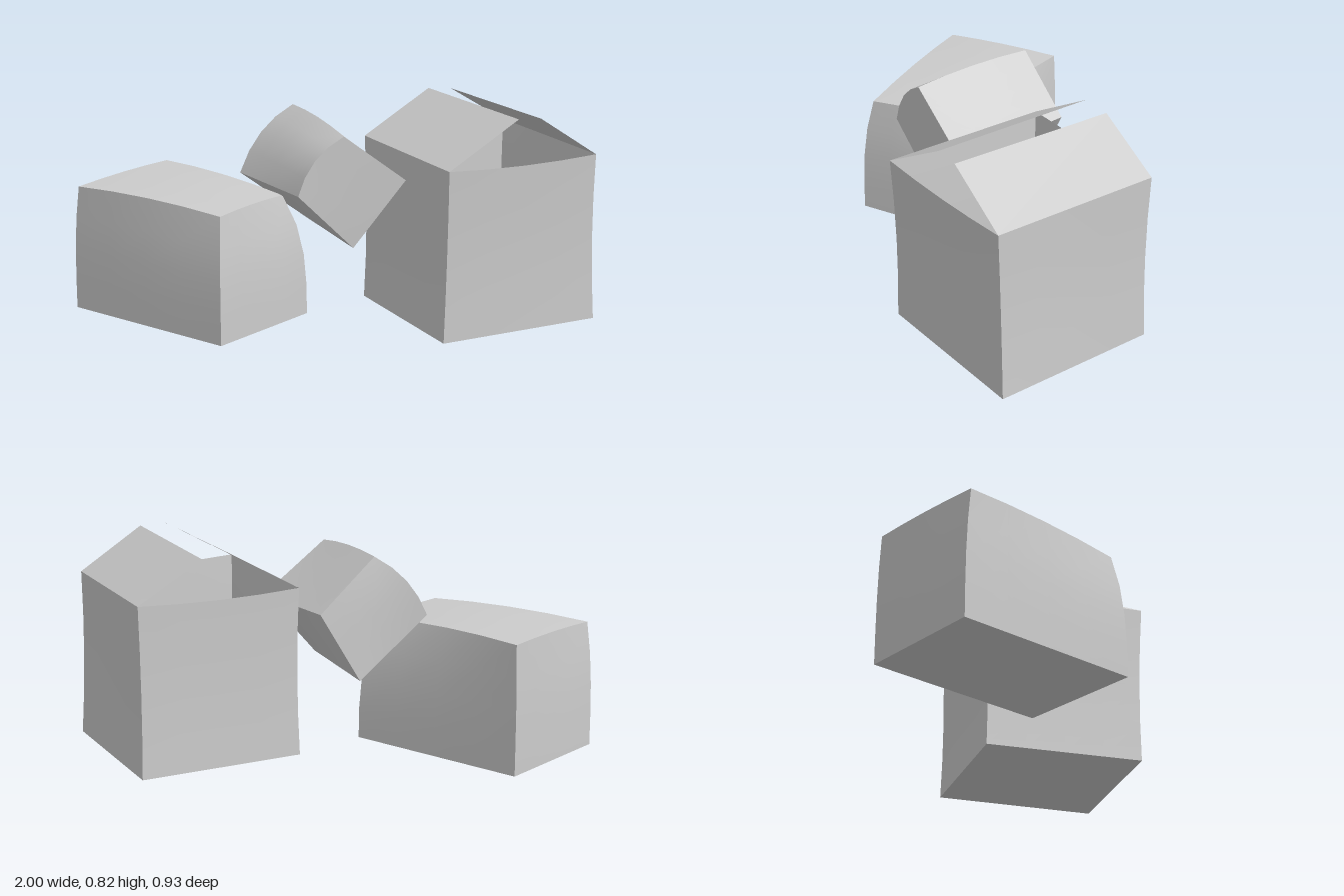
import * as THREE from 'three';

const material = new THREE.MeshStandardMaterial({ color: 0xcccccc, side: THREE.DoubleSide });
const arch = (t) => 4 * t * (1 - t);

// Warps a subdivided cube onto eight corners. Corner order: x fastest, then z, then y.
// bend curves the sideways lean of the walls; dent nudges each point by a rule.
function warpedBox(name, corners, { bend = 1, dent, open = false } = {}) {
  const geo = new THREE.BoxGeometry(1, 1, 1, 4, 4, 4);
  if (open) {
    // leave out the top face
    const top = geo.groups[2];
    const index = Array.from(geo.index.array);
    index.splice(top.start, top.count);
    geo.setIndex(index);
    geo.clearGroups();
  }
  const pos = geo.attributes.position;
  const c = corners.map((p) => new THREE.Vector3(...p));
  const mix = (i, u, w) => {
    const back = c[i].clone().lerp(c[i + 1], u);
    return back.lerp(c[i + 2].clone().lerp(c[i + 3], u), w);
  };
  for (let i = 0; i < pos.count; i++) {
    const u = pos.getX(i) + 0.5, v = pos.getY(i) + 0.5, w = pos.getZ(i) + 0.5;
    const low = mix(0, u, w), high = mix(4, u, w);
    const p = low.clone().lerp(high, Math.pow(v, bend));
    p.y = THREE.MathUtils.lerp(low.y, high.y, v);
    if (dent) dent(p, u, v, w);
    pos.setXYZ(i, p.x, p.y, p.z);
  }
  geo.computeVertexNormals();
  const mesh = new THREE.Mesh(geo, material);
  mesh.name = name;
  return mesh;
}

// Thin flap between a hinge edge and a free edge
function flap(name, a, b, c, d) {
  const geo = new THREE.BufferGeometry();
  geo.setAttribute('position', new THREE.Float32BufferAttribute([...a, ...b, ...c, ...d], 3));
  geo.setIndex([0, 1, 2, 0, 2, 3]);
  geo.computeVertexNormals();
  const mesh = new THREE.Mesh(geo, material);
  mesh.name = name;
  return mesh;
}

export function createModel() {
  const group = new THREE.Group();
  group.name = 'cardboardBoxes';

  // Tall open carton with pinched walls
  const openCarton = new THREE.Group();
  openCarton.name = 'openCarton';
  const backLeft = [0.12, 0.655, -0.15], backRight = [0.68, 0.655, -0.465];
  const frontLeft = [0.425, 0.655, 0.425], frontRight = [0.985, 0.65, 0.12];
  openCarton.add(warpedBox('cartonBody', [
    [0.12, 0, -0.15], [0.68, 0, -0.465], [0.415, 0, 0.41], [1.0, 0, 0.105],
    backLeft, backRight, frontLeft, frontRight,
  ], {
    open: true,
    dent: (p, u, v, w) => {
      const pinch = 1 - 0.02 * arch(v);
      p.x = 0.55 + (p.x - 0.55) * pinch;
      p.z = -0.025 + (p.z + 0.025) * pinch;
      p.y -= 0.01 * v * arch(u);
    },
  }));

  // Two raised flaps leaning toward each other
  openCarton.add(
    flap('innerFlap', backLeft, frontLeft, [0.68, 0.817, 0.28], [0.37, 0.817, -0.29]),
    flap('outerFlap', frontRight, backRight, [0.46, 0.805, -0.345], [0.765, 0.81, 0.235]),
  );
  group.add(openCarton);

  // Low closed carton, crushed at the corner carrying the small one
  group.add(warpedBox('crushedCarton', [
    [-0.685, 0, -0.375], [-0.1, 0, 0.07], [-1.0, 0, 0.015], [-0.4, 0.005, 0.467],
    [-0.68, 0.5, -0.365], [-0.19, 0.48, 0.1], [-0.975, 0.49, 0.025], [-0.4, 0.482, 0.417],
  ], {
    bend: 3,
    dent: (p, u, v, w) => { p.y += v * v * 0.012 * (arch(u) + 0.5 * arch(w)); },
  }));

  // Small tilted carton resting between the other two, its upper left side bulging
  group.add(warpedBox('tiltedCarton', [
    [-0.36, 0.53, -0.05], [-0.11, 0.31, -0.2], [-0.12, 0.54, 0.35], [0.08, 0.31, 0.225],
    [-0.16, 0.778, -0.155], [0.035, 0.58, -0.265], [0.045, 0.75, 0.28], [0.275, 0.555, 0.155],
  ], {
    dent: (p, u, v, w) => {
      const bulge = 0.022 * (1 - u) * arch(v);
      p.x -= bulge;
      p.y += bulge + 0.012 * v * (1 - u) * arch(w);
      p.z += bulge * 0.5 * (2 * w - 1);
    },
  }));

  return group;
}
